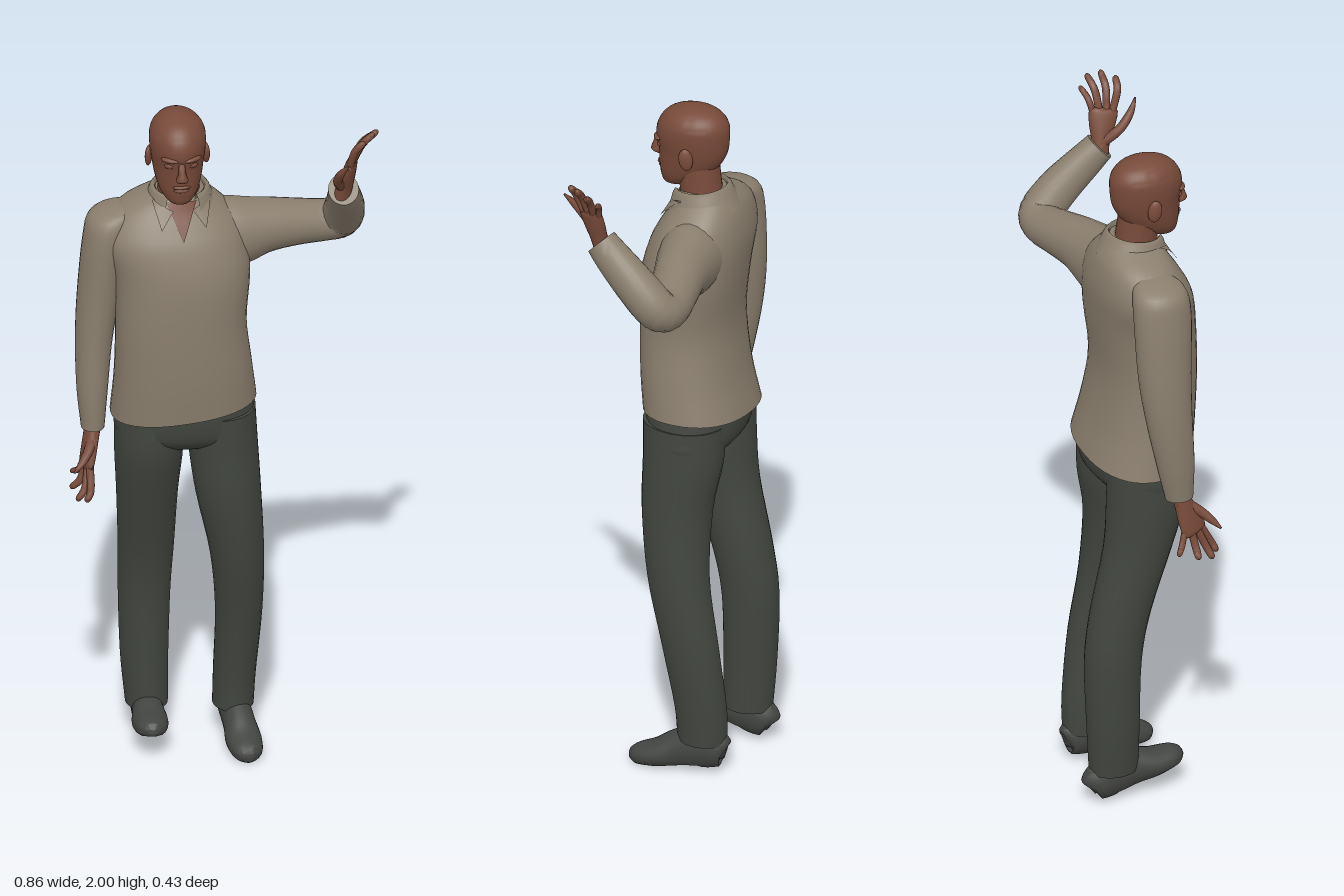
import * as THREE from 'three';
import { toCreasedNormals } from 'three/addons/utils/BufferGeometryUtils.js';

const paint = (name, color, side = THREE.FrontSide) => {
  const m = new THREE.MeshStandardMaterial({ color, side });
  m.name = name;
  return m;
};
const V = (a) => new THREE.Vector3(...a);

// Smooth closed sweep through rows [x, y, z, radiusU, radiusV].
// ref sets the U axis; level keeps every ring horizontal; power squares the section.
function sweep(rows, { ref = [1, 0, 0], level = false, seg = 24, steps = 4, power = 2 } = {}) {
  const path = new THREE.CatmullRomCurve3(rows.map((r) => V(r)), false, 'catmullrom', 0.5);
  const radii = new THREE.CatmullRomCurve3(rows.map((r) => V([r[3], r[4], 0])), false, 'catmullrom', 0.5);
  const n = (rows.length - 1) * steps, pos = [], idx = [];
  const bulge = (c) => Math.sign(c) * Math.abs(c) ** (2 / power);
  for (let i = 0; i <= n; i++) {
    const c = path.getPoint(i / n), r = radii.getPoint(i / n);
    const t = level ? V([0, Math.sign(rows[rows.length - 1][1] - rows[0][1]), 0]) : path.getTangent(i / n);
    const u = V(ref).addScaledVector(t, -V(ref).dot(t)).normalize();
    const v = t.clone().cross(u);
    for (let j = 0; j < seg; j++) {
      const a = (j / seg) * Math.PI * 2;
      const p = c.clone().addScaledVector(u, r.x * bulge(Math.cos(a))).addScaledVector(v, r.y * bulge(Math.sin(a)));
      pos.push(p.x, p.y, p.z);
      if (i < n) {
        const k = i * seg + j, l = i * seg + ((j + 1) % seg);
        idx.push(k, l, l + seg, k, l + seg, k + seg);
      }
    }
  }
  pos.push(...rows[0].slice(0, 3), ...rows[rows.length - 1].slice(0, 3));
  const first = (n + 1) * seg, last = n * seg;
  for (let j = 0; j < seg; j++) {
    const k = (j + 1) % seg;
    idx.push(first, k, j, first + 1, last + j, last + k);
  }
  const g = new THREE.BufferGeometry();
  g.setAttribute('position', new THREE.Float32BufferAttribute(pos, 3));
  g.setIndex(idx);
  return g;
}

// Moves each vertex by a rule
function bend(g, rule) {
  const p = g.attributes.position, v = new THREE.Vector3();
  for (let i = 0; i < p.count; i++) {
    rule(v.fromBufferAttribute(p, i));
    p.setXYZ(i, v.x, v.y, v.z);
  }
  return g;
}

// Thin triangle laid over the front of a mesh; corners are [x, y], counter-clockwise
function drape(target, a, b, c, lift) {
  const N = 10, pos = [], idx = [], ray = new THREE.Raycaster();
  const at = (i, j) => (i * (i + 1)) / 2 + j;
  for (let i = 0; i <= N; i++) for (let j = 0; j <= i; j++) {
    const wa = 1 - i / N, wc = j / N, wb = 1 - wa - wc;
    const x = a[0] * wa + b[0] * wb + c[0] * wc, y = a[1] * wa + b[1] * wb + c[1] * wc;
    ray.set(V([x, y, 2]), V([0, 0, -1]));
    const hit = ray.intersectObject(target)[0];
    pos.push(x, y, (hit ? hit.point.z : 0.03) + lift);
    if (i < N) idx.push(at(i, j), at(i + 1, j), at(i + 1, j + 1));
    if (i < N && j < i) idx.push(at(i, j), at(i + 1, j + 1), at(i, j + 1));
  }
  const g = new THREE.BufferGeometry();
  g.setAttribute('position', new THREE.Float32BufferAttribute(pos, 3));
  g.setIndex(idx);
  g.computeVertexNormals();
  return g;
}

export function createModel() {
  const man = new THREE.Group();
  const skin = paint('skin', 0x774a39);
  const shirt = paint('shirt cloth', 0x8b7f6e, THREE.DoubleSide);
  const cloth = paint('trouser cloth', 0x42463f);
  const leather = paint('shoe leather', 0x434542);
  const add = (name, g, m, parent = man) => {
    const mesh = new THREE.Mesh(g, m);
    mesh.name = name;
    parent.add(mesh);
    return mesh;
  };
  const body = (name, rows, m, opts) => add(name, toCreasedNormals(sweep(rows, opts), 0.9), m);
  const blob = (name, p, s, rot = [0, 0, 0]) => {
    const mesh = add(name, new THREE.SphereGeometry(1, 16, 12), skin);
    mesh.position.set(...p);
    mesh.scale.set(...s);
    mesh.rotation.set(...rot);
  };

  // Shirt body, with a hem that rises toward the raised arm
  const torsoGeo = bend(sweep([
    [-0.105, 1.078, -0.022, 0.205, 0.15], [-0.108, 1.2, -0.002, 0.193, 0.141], [-0.115, 1.35, 0.009, 0.184, 0.135],
    [-0.112, 1.5, 0, 0.192, 0.14], [-0.13, 1.6, -0.015, 0.2, 0.133], [-0.135, 1.66, -0.027, 0.182, 0.115],
    [-0.135, 1.705, -0.035, 0.14, 0.095], [-0.12, 1.74, -0.033, 0.085, 0.075], [-0.115, 1.755, -0.03, 0.06, 0.06],
  ], { level: true, seg: 40, power: 2.3 }), (v) => {
    v.y += 0.11 * (v.x + 0.105) * THREE.MathUtils.clamp((1.4 - v.y) / 0.3, 0, 1);
  });
  const torso = add('shirtBody', toCreasedNormals(torsoGeo, 0.9), shirt);

  // Sleeves: the left one raised and bent, the right one hanging
  body('leftSleeve', [
    [-0.08, 1.6, -0.035, 0.09, 0.1], [0.03, 1.592, -0.038, 0.088, 0.105], [0.13, 1.598, -0.055, 0.075, 0.08],
    [0.22, 1.592, -0.075, 0.068, 0.066], [0.3, 1.585, -0.09, 0.062, 0.059], [0.345, 1.6, -0.078, 0.062, 0.06],
    [0.35, 1.66, -0.02, 0.06, 0.056], [0.34, 1.73, 0.055, 0.053, 0.047], [0.332, 1.772, 0.098, 0.046, 0.043],
  ], shirt, { ref: [0, 0, 1] });
  body('rightSleeve', [
    [-0.265, 1.7, -0.035, 0.03, 0.04], [-0.3, 1.672, -0.033, 0.066, 0.075], [-0.322, 1.6, -0.032, 0.064, 0.085],
    [-0.342, 1.42, -0.035, 0.06, 0.078], [-0.356, 1.28, -0.028, 0.052, 0.068], [-0.362, 1.14, -0.012, 0.044, 0.056],
    [-0.362, 1.025, 0, 0.033, 0.041],
  ], shirt, { level: true });

  // Open neck, collar band and the two collar points
  add('openNeck', drape(torso, [-0.118, 1.635], [-0.075, 1.735], [-0.161, 1.735], 0.005), skin);
  add('rightCollarPoint', drape(torso, [-0.178, 1.668], [-0.142, 1.715], [-0.2, 1.74], 0.011), shirt);
  add('leftCollarPoint', drape(torso, [-0.052, 1.668], [-0.03, 1.74], [-0.088, 1.715], 0.011), shirt);
  const band = [[0.066, -0.02], [0.069, 0.035], [0.075, 0.042], [0.084, 0.03], [0.105, -0.025]];
  const collar = add('collar', new THREE.LatheGeometry(band.map((p) => new THREE.Vector2(...p)), 30, 0.55, Math.PI * 2 - 1.1), shirt);
  collar.position.set(-0.115, 1.722, -0.022);
  collar.rotation.x = 0.12;

  // Head and neck
  body('neck', [[-0.117, 1.68, -0.02, 0.066, 0.062], [-0.119, 1.76, -0.012, 0.059, 0.06], [-0.123, 1.85, 0, 0.058, 0.06]], skin, { level: true });
  body('head', [
    [-0.125, 1.748, 0.07, 0.012, 0.015], [-0.125, 1.755, 0.063, 0.033, 0.038], [-0.125, 1.78, 0.045, 0.053, 0.063],
    [-0.125, 1.815, 0.026, 0.065, 0.086], [-0.125, 1.86, 0.014, 0.073, 0.1], [-0.125, 1.91, 0.014, 0.079, 0.107],
    [-0.125, 1.95, 0.01, 0.076, 0.1], [-0.125, 1.98, 0.008, 0.056, 0.075], [-0.125, 1.996, 0.008, 0.025, 0.035],
    [-0.125, 2, 0.008, 0.004, 0.005],
  ], skin, { level: true, seg: 32 });
  body('nose', [[-0.125, 1.89, 0.112, 0.009, 0.01], [-0.125, 1.86, 0.121, 0.011, 0.014], [-0.125, 1.84, 0.124, 0.018, 0.016],
    [-0.125, 1.83, 0.115, 0.01, 0.008]], skin, { level: true, seg: 12 });
  blob('upperLip', [-0.125, 1.811, 0.108], [0.025, 0.006, 0.009]);
  blob('lowerLip', [-0.125, 1.8, 0.105], [0.022, 0.007, 0.009]);
  for (const s of [-1, 1]) {
    blob('brow', [-0.125 + s * 0.032, 1.897, 0.107], [0.027, 0.008, 0.012], [0, s * 0.4, s * 0.08]);
    blob('eyelid', [-0.125 + s * 0.033, 1.877, 0.102], [0.015, 0.008, 0.008], [0, s * 0.4, 0]);
    blob('ear', [-0.125 + s * 0.08, 1.865, 0.003], [0.01, 0.033, 0.02], [0.15, s * 0.35, 0]);
  }

  // Hands: palm, four fingers set between two knuckles, and a thumb
  function hand(side, wrist, index, pinky, tips, thumb, curl) {
    const a = V(index), b = V(pinky), w = V(wrist), c = a.clone().lerp(b, 0.5);
    const ref = a.clone().sub(b).normalize().toArray(), half = a.distanceTo(b) / 2;
    const along = (t) => w.clone().lerp(c, t).toArray();
    body(side + 'Palm', [[...along(-0.25), 0.027, 0.024], [...along(0.15), 0.027, 0.022], [...along(0.6), half + 0.005, 0.019],
      [...along(1), half + 0.008, 0.014], [...along(1.08), half * 0.8, 0.006]], skin, { ref, seg: 18 });
    tips.forEach((tip, i) => {
      const root = a.clone().lerp(b, i / 3), end = V(tip), r = i === 3 ? 0.009 : 0.0108;
      const mid = root.clone().lerp(end, 0.5).add(V(curl));
      const start = root.clone().lerp(c, 0.1).lerp(w, 0.12);
      const tail = mid.clone().lerp(end, 0.8);
      body(side + 'Finger', [[...start.toArray(), r, r], [...mid.toArray(), r, r], [...tail.toArray(), r * 0.85, r * 0.85],
        [...end.toArray(), r * 0.25, r * 0.25]], skin, { ref, seg: 10 });
    });
    const tr = [0.016, 0.014, 0.011, 0.003];
    body(side + 'Thumb', thumb.map((p, i) => [...p, tr[i], tr[i]]), skin, { ref: [1, 0, 0.2], seg: 10 });
  }
  hand('left', [0.333, 1.775, 0.1], [0.345, 1.875, 0.152], [0.362, 1.865, 0.09],
    [[0.382, 1.955, 0.172], [0.413, 1.965, 0.14], [0.428, 1.955, 0.104], [0.412, 1.93, 0.075]],
    [[0.325, 1.79, 0.11], [0.31, 1.825, 0.15], [0.315, 1.865, 0.185], [0.333, 1.9, 0.21]], [-0.008, 0.006, 0.003]);
  hand('right', [-0.362, 1.03, 0.003], [-0.378, 0.915, 0.068], [-0.39, 0.925, 0.005],
    [[-0.392, 0.838, 0.103], [-0.415, 0.832, 0.08], [-0.428, 0.848, 0.03], [-0.42, 0.87, -0.03]],
    [[-0.365, 1.0, 0.02], [-0.38, 0.975, 0.055], [-0.402, 0.95, 0.082], [-0.425, 0.93, 0.1]], [0.007, -0.008, 0.004]);

  // Trousers
  body('trouserSeat', [[-0.105, 1.16, -0.012, 0.185, 0.13], [-0.103, 1.06, -0.017, 0.197, 0.133], [-0.098, 1.0, -0.018, 0.196, 0.12],
    [-0.097, 0.965, -0.018, 0.15, 0.08]], cloth, { level: true, seg: 36, power: 2.3 });
  body('rightTrouserLeg', [
    [-0.203, 1.07, -0.018, 0.095, 0.12], [-0.202, 0.95, -0.022, 0.097, 0.118], [-0.203, 0.8, -0.05, 0.087, 0.1],
    [-0.2, 0.6, -0.103, 0.079, 0.088], [-0.202, 0.45, -0.127, 0.074, 0.083], [-0.202, 0.25, -0.127, 0.068, 0.077],
    [-0.196, 0.095, -0.122, 0.06, 0.072],
  ], cloth, { level: true });
  body('leftTrouserLeg', [
    [0, 1.07, -0.013, 0.097, 0.12], [0.006, 0.95, -0.012, 0.098, 0.116], [0.02, 0.8, 0, 0.092, 0.102],
    [0.046, 0.6, -0.014, 0.076, 0.09], [0.055, 0.4, -0.052, 0.066, 0.083], [0.047, 0.2, -0.082, 0.06, 0.076],
    [0.043, 0.095, -0.086, 0.058, 0.072],
  ], cloth, { level: true });

  // Shoes: swept from heel to toe, flattened at the sole
  function shoe(name, position, pitch, yaw) {
    const g = bend(sweep([
      [0, 0.045, 0, 0.012, 0.025], [0, 0.05, 0.015, 0.037, 0.052], [0, 0.055, 0.08, 0.043, 0.066], [0, 0.045, 0.14, 0.045, 0.055],
      [0, 0.028, 0.2, 0.051, 0.04], [0, 0.02, 0.255, 0.042, 0.03], [0, 0.018, 0.28, 0.02, 0.018], [0, 0.018, 0.287, 0.004, 0.004],
    ]), (v) => { v.y = Math.max(v.y, v.z > 0.07 && v.z < 0.13 ? 0.008 : 0); });
    const mesh = add(name, toCreasedNormals(g, 0.8), leather);
    mesh.position.set(...position);
    mesh.rotation.set(pitch, yaw, 0, 'YXZ');
  }
  shoe('rightShoe', [-0.195, 0.003, -0.182], -0.29, -0.03);
  shoe('leftShoe', [0.04, 0.024, -0.16], 0.085, 0.09);
  return man;
}
